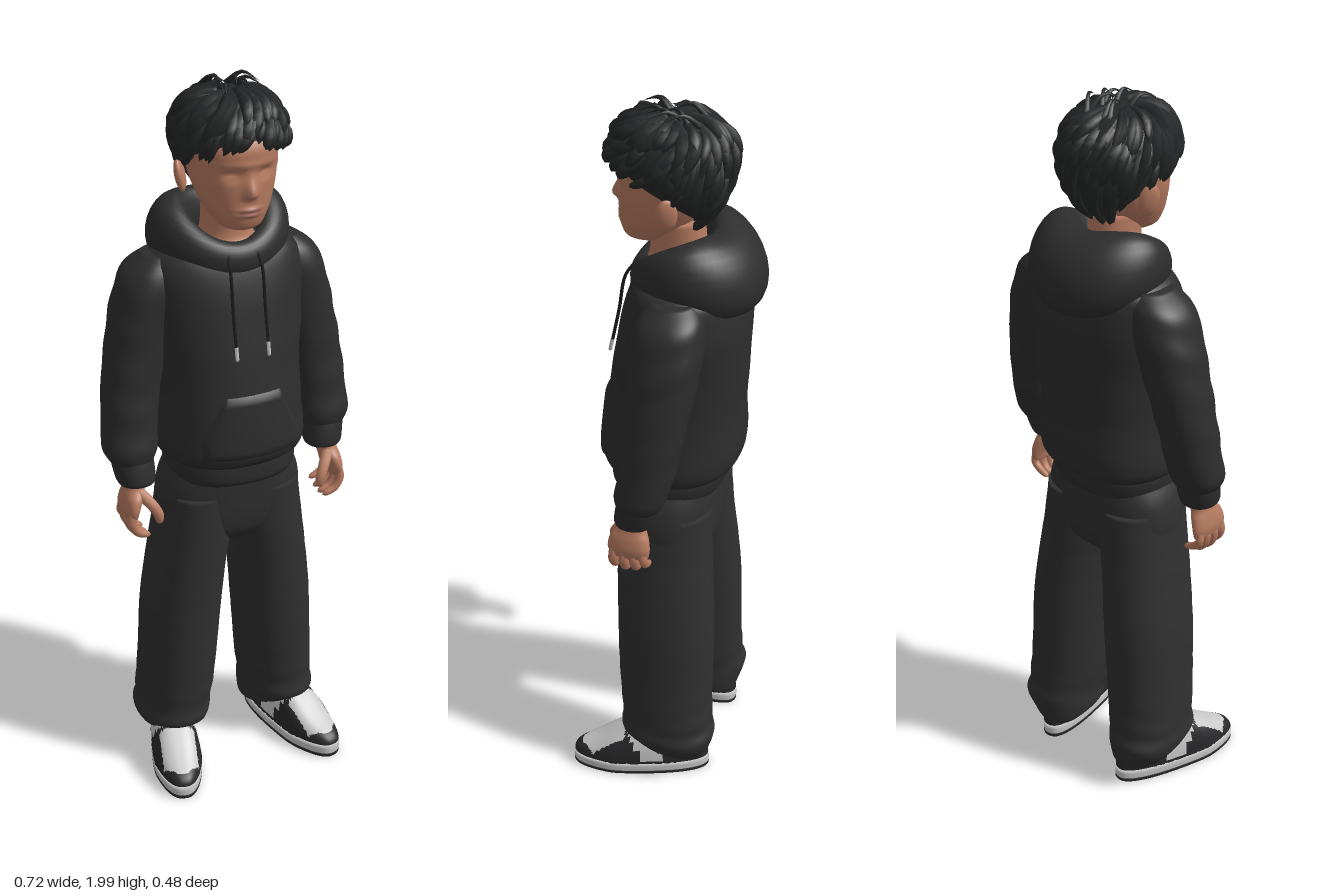
import * as THREE from 'three';
import { mergeVertices, mergeGeometries } from 'three/addons/utils/BufferGeometryUtils.js';

const { sin, cos, abs, PI, sign, exp, sqrt, max, min } = Math;
const lerp = THREE.MathUtils.lerp;
const V = (p) => new THREE.Vector3(...p);
const bump = (d, w) => exp(-((d / w) ** 2));

const mat = (name, color) => {
  const m = new THREE.MeshStandardMaterial({ color });
  m.name = name;
  return m;
};

// Smooth surface over a grid of u, v; pick(u, v) chooses a material slot per cell
function surf(nu, nv, fn, pick) {
  const pos = [], lists = [[], []];
  for (let j = 0; j <= nv; j++) for (let i = 0; i <= nu; i++) pos.push(...fn(i / nu, j / nv));
  for (let j = 0; j < nv; j++) for (let i = 0; i < nu; i++) {
    const a = j * (nu + 1) + i, b = a + nu + 1;
    lists[pick ? pick((i + 0.5) / nu, (j + 0.5) / nv) : 0].push(a, b, a + 1, b, b + 1, a + 1);
  }
  let g = new THREE.BufferGeometry();
  g.setAttribute('position', new THREE.Float32BufferAttribute(pos, 3));
  g.setIndex([...lists[0], ...lists[1]]);
  if (pick) {
    g.addGroup(0, lists[0].length, 0);
    g.addGroup(lists[0].length, lists[1].length, 1);
  }
  g = mergeVertices(g, 1e-5);
  g.computeVertexNormals();
  return g;
}

// Catmull-Rom blend of section rows at t in 0..1
function at(secs, t) {
  const n = secs.length - 1, k = min(n - 1, Math.floor(t * n)), f = t * n - k;
  const [p, a, b, q] = [-1, 0, 1, 2].map((o) => secs[max(0, min(n, k + o))]);
  return a.map((_, i) => a[i] + 0.5 * f * (b[i] - p[i] + f * (2 * p[i] - 5 * a[i] + 4 * b[i] - q[i]
    + f * (3 * (a[i] - b[i]) + q[i] - p[i]))));
}

// Closed body from level sections [y, cx, cz, rx, rz], listed upwards
function loft(secs, { e = 2.2, seg = 40, sub = 6, tweak } = {}) {
  const rows = (secs.length - 1) * sub;
  return surf(seg, rows + 2, (u, v) => {
    const j = Math.round(v * (rows + 2)) - 1, t = max(0, min(1, j / rows));
    const [y, cx, cz, rx, rz] = at(secs, t), k = j < 0 || j > rows ? 0 : 1;
    const a = u * 2 * PI, c = cos(a), s = sin(a);
    const p = [cx + k * rx * sign(c) * abs(c) ** (2 / e), y, cz + k * rz * sign(s) * abs(s) ** (2 / e)];
    return tweak && k ? tweak(p, a, cx, cz) : p;
  });
}

// Tube along points with a radius rule
function taper(points, radius, seg = 10, radial = 6) {
  const curve = new THREE.CatmullRomCurve3(points.map(V));
  let g = new THREE.TubeGeometry(curve, seg, 1, radial);
  const p = g.attributes.position, v = new THREE.Vector3();
  for (let k = 0; k < p.count; k++) {
    const t = Math.floor(k / (radial + 1)) / seg, c = curve.getPointAt(t);
    v.fromBufferAttribute(p, k).sub(c).multiplyScalar(radius(t)).add(c);
    p.setXYZ(k, v.x, v.y, v.z);
  }
  g.deleteAttribute('uv');
  g.deleteAttribute('normal');
  g = mergeVertices(g, 1e-6);
  g.computeVertexNormals();
  return g;
}

function mirrored(g) {
  const m = g.clone().scale(-1, 1, 1), ix = m.index.array;
  for (let i = 0; i < ix.length; i += 3) [ix[i], ix[i + 1]] = [ix[i + 1], ix[i]];
  m.computeVertexNormals();
  return m;
}

// Cloth folds that push the surface in and out
const folds = (amp, freq, twist) => ([x, y, z], a, cx, cz) => {
  const k = 1 + amp * sin(y * freq + twist * sin(a)) * (0.6 + 0.4 * cos(2 * a + y * 9));
  return [cx + (x - cx) * k, y, cz + (z - cz) * k];
};

export function createModel() {
  const root = new THREE.Group();
  const skin = mat('skin', 0xb77b61), lip = mat('lips', 0xa1685a), hairM = mat('hair', 0x252627);
  const cloth = mat('hoodie cloth', 0x2d2d2e), pants = mat('trouser cloth', 0x303031);
  const cord = mat('cord', 0x1b1b1b), metal = mat('cord tip', 0xc4c4c4);
  const black = mat('shoe black', 0x28282a), white = mat('shoe white', 0xc9c9c9);
  const add = (name, g, m) => {
    const mesh = new THREE.Mesh(g, m);
    mesh.name = name;
    root.add(mesh);
    return mesh;
  };
  const pair = (name, g, m) => { add('left' + name, g, m); add('right' + name, mirrored(g), m); };

  // Head with nose, eye sockets, brow and mouth
  const face = ([x, y, z]) => {
    if (z > 0.04) {
      z += 0.024 * bump(x, 0.016) * bump(y - 1.737, y > 1.737 ? 0.036 : 0.011)
        - 0.013 * bump(abs(x) - 0.043, 0.022) * bump(y - 1.786, 0.014)
        + 0.005 * bump(abs(x) - 0.043, 0.016) * bump(y - 1.782, 0.007)
        + 0.004 * bump(x, 0.08) * bump(y - 1.812, 0.01)
        + 0.006 * bump(x, 0.03) * (bump(y - 1.696, 0.006) + bump(y - 1.682, 0.006));
    }
    return [x, y, z];
  };
  const headSecs = [[1.635, 0, 0.07, 0.035, 0.04], [1.645, 0, 0.065, 0.055, 0.06], [1.67, 0, 0.053, 0.072, 0.081],
    [1.7, 0, 0.04, 0.088, 0.097], [1.75, 0, 0.025, 0.105, 0.113], [1.8, 0, 0.015, 0.112, 0.125],
    [1.85, 0, 0.01, 0.115, 0.131], [1.9, 0, 0, 0.1, 0.11], [1.94, 0, 0, 0.06, 0.07]];
  add('head', loft(headSecs, { seg: 96, sub: 10, tweak: face }), skin);
  add('lips', surf(16, 8, (u, v) => {
    const x = 0.03 * (1 - 2 * u), y = 1.689 + (v - 0.5) * 0.026 * sqrt(max(0, 1 - (x / 0.031) ** 2));
    const z = 0.0425 + 0.0945 * (1 - (abs(x) / 0.083) ** 2.2) ** (1 / 2.2);
    return [x, y, face([x, y, z])[2] + 0.0015];
  }), lip);
  add('neck', loft([[1.53, 0, 0, 0.1, 0.085], [1.575, 0, -0.01, 0.08, 0.08], [1.61, 0, -0.015, 0.063, 0.073],
    [1.7, 0, -0.01, 0.062, 0.07]]), skin);
  const ear = new THREE.SphereGeometry(1, 16, 12).scale(0.014, 0.045, 0.028);
  ear.rotateY(0.5).rotateZ(-0.2).translate(0.122, 1.755, -0.02);
  pair('Ear', ear, skin);

  // Hair cap, then swept locks over it
  const cap = (a, v, out = 1) => {
    const s = sin(a), line = s > 0 ? 1.8 + 0.075 * s : 1.8 + 0.1 * s;
    const y = lerp(line, 1.972, sin(min(v, 1) * PI / 2)), d = y - 1.85;
    const r = d > 0 ? sqrt(max(0, 1 - (d / 0.1221) ** 2)) : 1 - 0.4 * (d / 0.15) ** 2;
    return [0.131 * r * out * cos(a), y + (out - 1) * 0.1, (0.15 * s * r) * out];
  };
  add('hairCap', surf(48, 16, (u, v) => cap(u * 2 * PI, v)), hairM);
  let seed = 7;
  const rnd = () => (seed = (seed * 16807) % 2147483647) / 2147483647;
  const locks = [];
  for (let k = 0; k < 150; k++) {
    const a = k * 2.39996, v = 0.25 + 0.65 * rnd(), front = max(0, sin(a));
    const turn = 0.2 + 0.3 * rnd(), len = 0.32 + 0.15 * rnd() + 0.22 * front, r = 0.013 + 0.009 * rnd();
    const lift = 1.03 + 0.07 * rnd() * (0.5 + 0.5 * front + v * 0.3);
    const end = max(-0.12 - 0.16 * front * rnd(), v - len);
    locks.push(taper([cap(a, v, 0.97), cap(a + turn * 0.5, (v + end) / 2, lift), cap(a + turn, end, lift + 0.04)],
      (t) => r * (0.5 + 0.9 * t) * sqrt(max(0.0004, 1 - t)) * 1.2, 8, 5));
  }
  for (let k = 0; k < 9; k++) { // loose strands on the crown
    const x = 0.09 * (rnd() - 0.5), z = 0.14 * (rnd() - 0.6), w = 0.05 * (rnd() - 0.3);
    locks.push(taper([[x, 1.955, z], [x + w, 1.99, z + 0.035], [x + w * 2, 1.975, z + 0.08]],
      (t) => 0.009 * (1 - t) + 0.0003, 8, 5));
  }
  add('hairLocks', mergeGeometries(locks), hairM);

  // Hoodie body, waistband and pocket
  const body = [[0.985, 0, -0.005, 0.18, 0.16], [1.005, 0, -0.005, 0.198, 0.18], [1.05, 0, -0.006, 0.203, 0.188],
    [1.2, 0, -0.014, 0.193, 0.18], [1.35, 0, -0.03, 0.205, 0.17], [1.45, 0, -0.04, 0.215, 0.16],
    [1.53, 0, -0.045, 0.205, 0.14], [1.565, 0, -0.045, 0.165, 0.115], [1.585, 0, -0.05, 0.115, 0.085]];
  add('hoodieBody', loft(body, { e: 2.3, seg: 64, tweak: folds(0.008, 38, 2) }), cloth);
  add('waistband', loft([[0.93, 0, 0.003, 0.168, 0.148], [0.945, 0, 0.003, 0.175, 0.155], [0.975, 0, 0, 0.178, 0.158],
    [1, 0, 0, 0.175, 0.155]], { e: 2.4 }), cloth);
  const frontZ = (x, y) => {
    let lo = 0, hi = 1;
    for (let k = 0; k < 24; k++) { const m = (lo + hi) / 2; if (at(body, m)[0] < y) lo = m; else hi = m; }
    const s = at(body, lo);
    return s[2] + s[4] * max(0, 1 - abs(x / s[3]) ** 2.3) ** (1 / 2.3);
  };
  add('frontPocket', surf(24, 14, (u, v) => {
    const half = v < 0.3 ? 0.14 : lerp(0.14, 0.08, (v - 0.3) / 0.7), x = half * (1 - 2 * u), y = 1.02 + 0.18 * v;
    const edge = u === 0 || u === 1 || v === 0 || v === 1;
    return [x, y, frontZ(x, y) + (edge ? -0.002 : 0.008)];
  }), cloth);

  // Lowered hood: a thick roll, heavy at the back and thin at the throat
  add('hood', surf(64, 24, (u, v) => {
    const a = u * 2 * PI, s = sin(a), c2 = cos(a) ** 2, b = v * 2 * PI;
    const rim = 1 + 0.1 * bump(b - 2.0, 0.3);
    const h = (0.0525 - 0.0225 * s) * rim * cos(b), up = (0.0725 - 0.0275 * s + 0.0125 * c2) * rim * sin(b);
    const lean = 0.25 * max(0, -s) * -up;
    return [(0.135 + h + lean) * cos(a), 1.557 - 0.015 * s + 0.03 * c2 + up, -0.045 + (0.12 + h + lean) * s];
  }), cloth);

  // Drawstrings with light tips
  const string = [[0.04, 1.57, 0.09], [0.044, 1.53, 0.115], [0.045, 1.43, 0.133], [0.045, 1.335, 0.153]];
  pair('Drawstring', taper(string, () => 0.0045, 16), cord);
  pair('DrawstringTip', taper([[0.045, 1.338, 0.153], [0.045, 1.3, 0.161]], (t) => (t > 0.95 ? 0.001 : 0.0052), 10), metal);

  // Sleeves and cuffs
  pair('Sleeve', loft([[1, 0.283, 0.005, 0.06, 0.058], [1.03, 0.284, -0.002, 0.074, 0.068],
    [1.08, 0.28, -0.012, 0.074, 0.072], [1.2, 0.266, -0.03, 0.077, 0.078], [1.35, 0.235, -0.045, 0.082, 0.088],
    [1.45, 0.208, -0.05, 0.084, 0.093], [1.51, 0.188, -0.052, 0.076, 0.083], [1.548, 0.16, -0.052, 0.055, 0.055]],
  { tweak: folds(0.025, 60, 2) }), cloth);
  pair('Cuff', loft([[0.937, 0.277, 0.02, 0.048, 0.049], [0.95, 0.278, 0.018, 0.053, 0.054], [0.985, 0.281, 0.01, 0.056, 0.057],
    [1.01, 0.283, 0.005, 0.056, 0.056]]), cloth);

  // Hands with relaxed fingers
  pair('Palm', loft([[0.845, 0.304, 0.026, 0.017, 0.052], [0.87, 0.303, 0.028, 0.022, 0.058], [0.9, 0.295, 0.028, 0.026, 0.052],
    [0.925, 0.286, 0.024, 0.028, 0.038], [0.955, 0.28, 0.018, 0.028, 0.034]], { seg: 24 }), skin);
  const tip = (r) => (t) => r * (1 - 0.25 * t) * sqrt(max(0.0005, 1 - t ** 10));
  const fingers = [0.07, 0.041, 0.012, -0.015].map((z, i) => {
    const d = [0, 0.006, 0.002, -0.01][i];
    return taper([[0.303, 0.87, z * 0.9 + 0.003], [0.31, 0.835, z], [0.295, 0.807 - d, z], [0.258, 0.79 - d, z]],
      tip([0.0145, 0.015, 0.0145, 0.0125][i]), 16, 10);
  });
  fingers.push(taper([[0.285, 0.918, 0.045], [0.258, 0.888, 0.075], [0.242, 0.86, 0.088], [0.238, 0.828, 0.088]],
    tip(0.0175), 16, 10));
  pair('Fingers', mergeGeometries(fingers), skin);

  // Trousers: hips and wide legs gathered at the hem
  add('trouserHips', loft([[0.725, 0, -0.01, 0.1, 0.09], [0.76, 0, -0.01, 0.185, 0.118], [0.82, 0, -0.008, 0.203, 0.13],
    [0.9, 0, -0.006, 0.195, 0.134], [0.96, 0, -0.003, 0.168, 0.135]], { e: 2.5 }), pants);
  const crease = folds(0.028, 75, 2.4);
  pair('TrouserLeg', loft([[0.075, 0.15, -0.055, 0.072, 0.08], [0.09, 0.156, -0.045, 0.088, 0.108],
    [0.14, 0.167, -0.037, 0.102, 0.133], [0.18, 0.162, -0.034, 0.1, 0.131], [0.23, 0.157, -0.03, 0.104, 0.13],
    [0.35, 0.148, -0.025, 0.105, 0.134], [0.5, 0.138, -0.022, 0.107, 0.136], [0.65, 0.122, -0.015, 0.104, 0.134],
    [0.75, 0.108, -0.01, 0.104, 0.131], [0.88, 0.098, -0.007, 0.096, 0.128]],
  { sub: 8, tweak: (p, a, cx, cz) => {
    const f = crease(p, a, cx, cz), w = max(0.12, min(1, (0.3 - p[1]) / 0.15));
    const drop = 0.03 * sin(a) * max(0, (0.14 - p[1]) / 0.065);
    return [lerp(p[0], f[0], w), p[1] + drop, lerp(p[2], f[2], w)];
  } }), pants);

  // Shoes, toes turned out
  const place = (g) => g.rotateY(0.25).translate(0.188, 0, 0.04);
  const shape = ([x, y, z]) => [x * (0.93 + 0.9 * z - 2.2 * max(0, z - 0.08)), y, z];
  const sole = (y0, y1, w) => place(loft([[y0, 0, 0, w - 0.003, 0.195], [y0 + 0.004, 0, 0, w, 0.198],
    [y1, 0, 0, w, 0.197]], { e: 2.5, seg: 48, sub: 2, tweak: shape }));
  pair('Outsole', sole(0, 0.012, 0.071), black);
  pair('Midsole', sole(0.011, 0.042, 0.0715), white);
  const upper = (u, v) => {
    const a = u * 2 * PI, c = cos(a), s = sin(a), k = cos(v * PI / 2) ** 0.6;
    const z = 0.196 * k * sign(s) * abs(s) ** 0.8;
    const h = 0.05 + 0.075 * THREE.MathUtils.smoothstep(0.17 - z, 0, 0.2);
    return shape([0.0715 * k * sign(c) * abs(c) ** 0.8, 0.04 + h * sin(v * PI / 2), z]);
  };
  const panel = (u, v) => {
    const [x, y, z] = upper(u, v);
    const toeBox = z > 0.045 && z < 0.172 && abs(x) < 0.05 - 1.2 * max(0, z - 0.14);
    const quarter = abs(x) > 0.03 && abs(z + 0.035 - (y - 0.06) * 0.5) < 0.032 && y > 0.05;
    return toeBox || quarter ? 1 : 0;
  };
  pair('ShoeUpper', place(surf(96, 40, upper, panel)), [black, white]);
  const laces = [0.03, 0.05, 0.07].map((z) => {
    const y = 0.127 - 0.55 * max(0, z - 0.025);
    return place(taper([[-0.03, y - 0.012, z], [0, y + 0.006, z + 0.004], [0.03, y - 0.012, z]], () => 0.005, 8));
  });
  pair('Laces', mergeGeometries(laces), black);
  return root;
}
